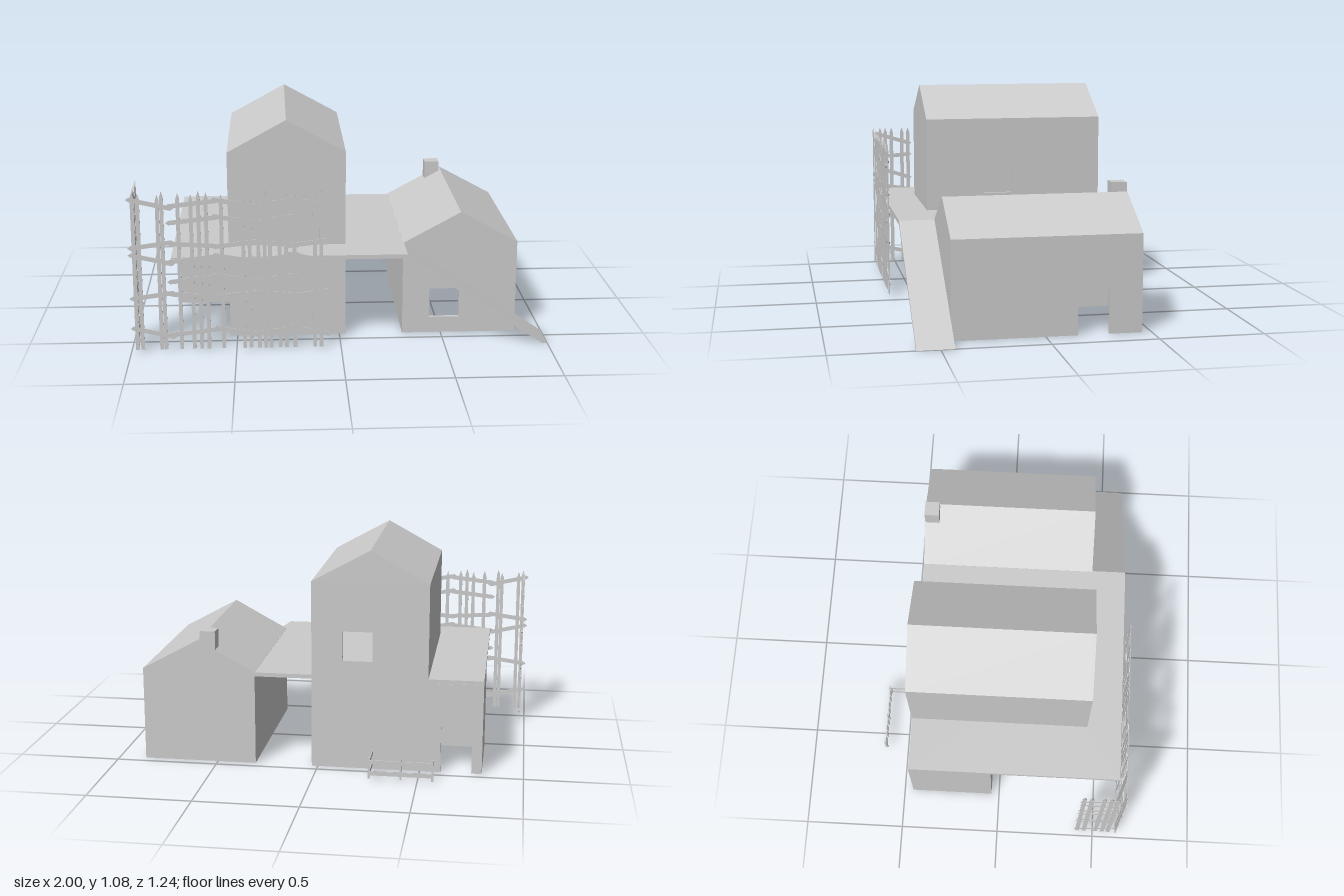
import * as THREE from 'three';

const T = 0.018; // wall thickness
const grey = new THREE.MeshStandardMaterial({ color: 0xcccccc });
grey.name = 'plain grey';

const rect = (x0, y0, x1, y1) => [[x0, y0], [x1, y0], [x1, y1], [x0, y1]];
const vecs = (pts) => pts.map(([x, y]) => new THREE.Vector2(x, y));

function plate(name, pts, depth, holes = []) {
  const shape = new THREE.Shape(vecs(pts));
  holes.forEach((h) => shape.holes.push(new THREE.Path(vecs(h))));
  const geo = new THREE.ExtrudeGeometry(shape, { depth, bevelEnabled: false });
  const mesh = new THREE.Mesh(geo, grey);
  mesh.name = name;
  return mesh;
}
// wall facing front or back: outline in x, y, from z to z + T
function wallZ(name, pts, z, holes) {
  const m = plate(name, pts, T, holes);
  m.position.z = z;
  return m;
}
// wall facing a side: outline in z, y, from x - T to x
function wallX(name, pts, x, holes) {
  const m = plate(name, pts, T, holes);
  m.rotation.y = -Math.PI / 2;
  m.position.x = x;
  return m;
}
// floor: outline in x, z, from y - t to y
function floor(name, pts, y, t, holes) {
  const m = plate(name, pts, t, holes);
  m.rotation.x = Math.PI / 2;
  m.position.y = y;
  return m;
}
function box(name, x0, x1, y0, y1, z0, z1) {
  const m = new THREE.Mesh(new THREE.BoxGeometry(x1 - x0, y1 - y0, z1 - z0), grey);
  m.name = name;
  m.position.set((x0 + x1) / 2, (y0 + y1) / 2, (z0 + z1) / 2);
  return m;
}

const Z0 = -0.455, Z1 = 0.435;
const gable = (x0, x1, eave, ridge) => [[x0, 0], [x1, 0], [x1, eave], [(x0 + x1) / 2, ridge], [x0, eave]];

// folded roof shell spanning between the two gable walls
function roof(x0, x1, eave, ridge) {
  const xm = (x0 + x1) / 2;
  const m = plate('roof', [[x0, eave], [x0 + T, eave - 0.01], [xm, ridge - 0.021], [x1 - T, eave - 0.01],
    [x1, eave], [xm, ridge]], Z1 - Z0 - 2 * T);
  m.position.z = Z0 + T;
  return m;
}

function tallHouse() {
  const g = new THREE.Group();
  g.name = 'tallHouse';
  const x0 = -0.535, x1 = 0.03, e = 0.925, r = 1.08, a = Z0 + T, b = Z1 - T;
  g.add(
    wallZ('frontWall', gable(x0, x1, e, r), b),
    wallZ('backWall', [[x0, 0.445], [x0 + T, 0.445], [x0 + T, 0], ...gable(x0, x1, e, r).slice(1)], Z0,
      [rect(-0.265, 0.54, -0.12, 0.685)]),
    wallX('rightWall', rect(a, 0, b, e), x1, [rect(0, 0.545, 0.145, 0.69), rect(-0.3, 0.08, -0.155, 0.225)]),
    // ground floor opens into the side wing
    wallX('leftWall', [[a, 0.445], [-0.04, 0.445], [-0.04, 0], [b, 0], [b, e], [a, e]], x0 + T),
    roof(x0, x1, e, r),
  );
  // solid staircase climbing towards the front
  const n = 14, z0 = -0.03, run = (b - z0) / n, rise = 0.445 / n;
  const pts = [[b, 0], [b, 0.445]];
  for (let i = n - 1; i >= 0; i--) {
    pts.push([z0 + i * run, (i + 1) * rise], [z0 + i * run, i * rise]);
  }
  pts.pop();
  pts.push([z0, 0]);
  const stairs = plate('staircase', pts, 0.16);
  stairs.rotation.y = -Math.PI / 2;
  stairs.position.x = x0 + T + 0.16;
  g.add(stairs);
  return g;
}

function sideWing() {
  const g = new THREE.Group();
  g.name = 'sideWing';
  const x0 = -0.8, x1 = -0.535, h = 0.445, zf = -0.04;
  g.add(
    wallZ('backWall', [[x0, 0], [-0.75, 0], [-0.75, 0.23], [-0.6, 0.23], [-0.6, 0], [x1 + T, 0], [x1 + T, h], [x0, h]], Z0),
    wallZ('frontWall', rect(x0, 0, x1, h), zf - T),
    wallX('leftWall', rect(Z0 + T, 0, zf - T, h), x0 + T),
  );
  return g;
}

function smallHouse() {
  const g = new THREE.Group();
  g.name = 'smallHouse';
  const x0 = 0.31, x1 = 0.868, e = 0.465, r = 0.617, a = Z0 + T, b = Z1 - T;
  g.add(
    wallZ('frontWall', gable(x0, x1, e, r), b, [rect(0.443, 0.08, 0.588, 0.228)]),
    wallZ('backWall', gable(x0, x1, e, r), Z0),
    wallX('leftWall', rect(a, 0, b, e), x0 + T),
    wallX('rightWall', [[a, 0], [-0.3, 0], [-0.3, 0.23], [-0.15, 0.23], [-0.15, 0], [b, 0], [b, e], [a, e]], x1),
    roof(x0, x1, e, r),
    box('chimney', 0.503, 0.579, 0.56, 0.662, Z0, -0.38),
  );
  return g;
}

// crooked pointed picket in the local x, y plane
function picket(x, w, top) {
  return plate('picket', [[x - w, 0.01], [x + w, 0.01], [x + w, top - 0.03], [x, top], [x - w, top - 0.03]], 0.004);
}
// slanting rail with pointed ends
function rail(x0, y0, x1, y1, w = 0.011) {
  return plate('rail', [[x0, y0], [x0 + 0.015, y0 - w], [x1 - 0.015, y1 - w], [x1, y1], [x1 - 0.015, y1 + w],
    [x0 + 0.015, y0 + w]], 0.004);
}

function fence() {
  const g = new THREE.Group();
  g.name = 'fence';
  const front = new THREE.Group();
  front.name = 'frontFence';
  const xs = [-0.97, -0.945, -0.855, -0.835, -0.76, -0.7, -0.665, -0.63, -0.56, -0.46, -0.43, -0.39, -0.36, -0.335,
    -0.29, -0.26, -0.22, -0.125, -0.095];
  xs.forEach((x, i) => front.add(picket(x, 0.009, 0.79 - 0.008 * (i % 3))));
  const spans = [[-1, -0.78, -0.022], [-0.82, -0.57, 0.012], [-0.61, -0.38, -0.018], [-0.43, -0.19, 0.016], [-0.27, -0.045, -0.02]];
  const levels = [0.095, 0.28, 0.36, 0.46, 0.53, 0.65, 0.73];
  spans.forEach(([a, b, tilt], s) => levels.forEach((y, i) => {
    if (s !== 2 && (i === 2 || i === 5) && s % 2 === 0) return;
    const t = i % 3 === 1 ? -tilt * 0.6 : tilt;
    front.add(rail(a, y - t, b, y + t));
  }));
  front.position.z = 0.617;

  const side = new THREE.Group();
  side.name = 'sideFence';
  [0.42, 0.455, 0.515, 0.55, 0.58].forEach((z) => side.add(picket(z, 0.01, 0.79)));
  [[0.06, 0.1], [0.25, 0.29], [0.3, 0.29], [0.43, 0.46], [0.5, 0.56], [0.635, 0.62], [0.7, 0.755]]
    .forEach(([ya, yb]) => side.add(rail(0.4, ya, 0.615, yb)));
  side.rotation.y = -Math.PI / 2;
  side.position.x = -0.97;
  g.add(front, side);
  return g;
}

// low railing behind the tall house
function backRailing() {
  const g = new THREE.Group();
  g.name = 'backRailing';
  for (const x of [-0.573, -0.422, -0.271]) g.add(box('post', x - 0.005, x + 0.005, 0.01, 0.113, -0.621, -0.609));
  for (const y of [0.035, 0.09]) {
    g.add(box('longRail', -0.578, -0.268, y - 0.01, y + 0.01, -0.617, -0.612));
    g.add(box('shortRail', -0.273, -0.269, y - 0.01, y + 0.01, -0.612, Z0));
  }
  return g;
}

export function createModel() {
  const model = new THREE.Group();
  model.name = 'houses';
  // terrace joining the houses, with a stairwell
  const terrace = floor('terrace', rect(-0.8, Z0 + 0.002, 0.315, 0.608), 0.464, 0.02, [rect(-0.515, 0.1, -0.36, 0.415)]);
  // sloping ramp from the terrace to the ground
  const ramp = plate('ramp', [[0.315, 0.445], [0.975, 0], [1, 0], [0.315, 0.464]], 0.173);
  ramp.position.z = Z1;
  model.add(tallHouse(), sideWing(), smallHouse(), terrace, ramp, fence(), backRailing());
  return model;
}
